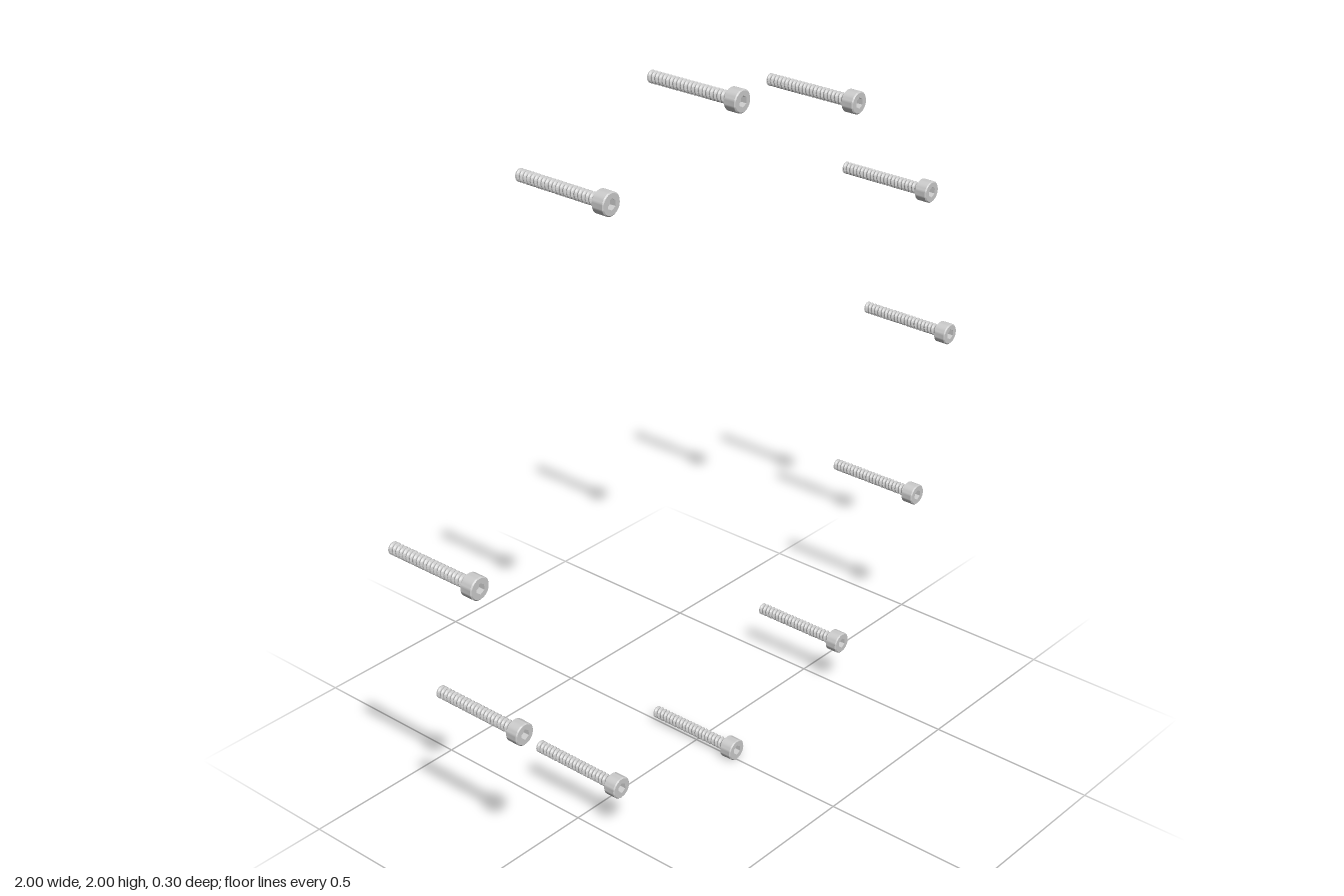
import * as THREE from 'three';
import { toCreasedNormals } from 'three/addons/utils/BufferGeometryUtils.js';

const RING = 0.9685, HEAD_R = 0.0313, SHANK_R = 0.0176, ROOT_R = 0.0142;
const TIP = -0.152, SEAT = 0.116, TOP = 0.152;
const HEX_R = 0.0155, SOCKET = 0.018, BEVEL = 0.003, SEG = 32;
const v = (x, y) => new THREE.Vector2(x, y);

// Helical thread: a zigzag lathe sheared by one pitch per turn, cut flat at both ends
function threadGeometry() {
  const turns = 22, seg = 20, pitch = (SEAT - TIP) / turns;
  const profile = [v(0, TIP - 2 * pitch)];
  for (let i = -2; i <= turns + 1; i++) {
    const y = TIP + i * pitch;
    profile.push(v(ROOT_R, y), v(ROOT_R, y + pitch * 0.15), v(SHANK_R, y + pitch * 0.5), v(SHANK_R, y + pitch * 0.65));
  }
  const g = new THREE.LatheGeometry(profile, seg);
  const p = g.attributes.position;
  for (let i = 0; i < p.count; i++) {
    const column = Math.floor(i / profile.length);
    p.setY(i, THREE.MathUtils.clamp(p.getY(i) + pitch * column / seg, TIP, SEAT));
  }
  return toCreasedNormals(g, 0.5).rotateX(Math.PI / 2);
}

// Head wall with a bevelled front rim and a closed underside
function headGeometry() {
  const g = new THREE.LatheGeometry([
    v(0, SEAT), v(HEAD_R, SEAT), v(HEAD_R, TOP - BEVEL), v(HEAD_R - BEVEL, TOP),
  ], SEG);
  return toCreasedNormals(g, 0.5).rotateX(Math.PI / 2);
}

// Front face with a hexagonal opening
function faceGeometry() {
  const polygon = (n, r) => Array.from({ length: n }, (_, i) => {
    const a = i / n * Math.PI * 2;
    return v(r * Math.sin(a), r * Math.cos(a));
  });
  const shape = new THREE.Shape(polygon(SEG, HEAD_R - BEVEL));
  shape.holes.push(new THREE.Path(polygon(6, HEX_R)));
  return new THREE.ShapeGeometry(shape).translate(0, 0, TOP);
}

export function createModel() {
  const model = new THREE.Group();
  model.name = 'screwRing';

  const metal = new THREE.MeshStandardMaterial({ color: 0xcccccc });
  const socketMetal = new THREE.MeshStandardMaterial({ color: 0xcccccc, flatShading: true, side: THREE.DoubleSide });

  const parts = [
    ['threadedShank', threadGeometry(), metal],
    ['head', headGeometry(), metal],
    ['headFace', faceGeometry(), metal],
    ['socketWall', new THREE.CylinderGeometry(HEX_R, HEX_R, SOCKET, 6, 1, true)
      .rotateX(Math.PI / 2).translate(0, 0, TOP - SOCKET / 2), socketMetal],
    ['socketFloor', new THREE.CircleGeometry(HEX_R, 6, Math.PI / 6).translate(0, 0, TOP - SOCKET), metal],
  ];

  // Twelve equal stations, with the upper one on the model's right left empty
  for (let i = 0; i < 12; i++) {
    if (i === 5) continue;
    const a = i * Math.PI / 6;
    const screw = new THREE.Group();
    screw.name = 'screw' + i;
    for (const [name, geometry, material] of parts) {
      const mesh = new THREE.Mesh(geometry, material);
      mesh.name = name;
      screw.add(mesh);
    }
    screw.position.set(RING * Math.cos(a), 1 + RING * Math.sin(a), 0);
    model.add(screw);
  }
  return model;
}
